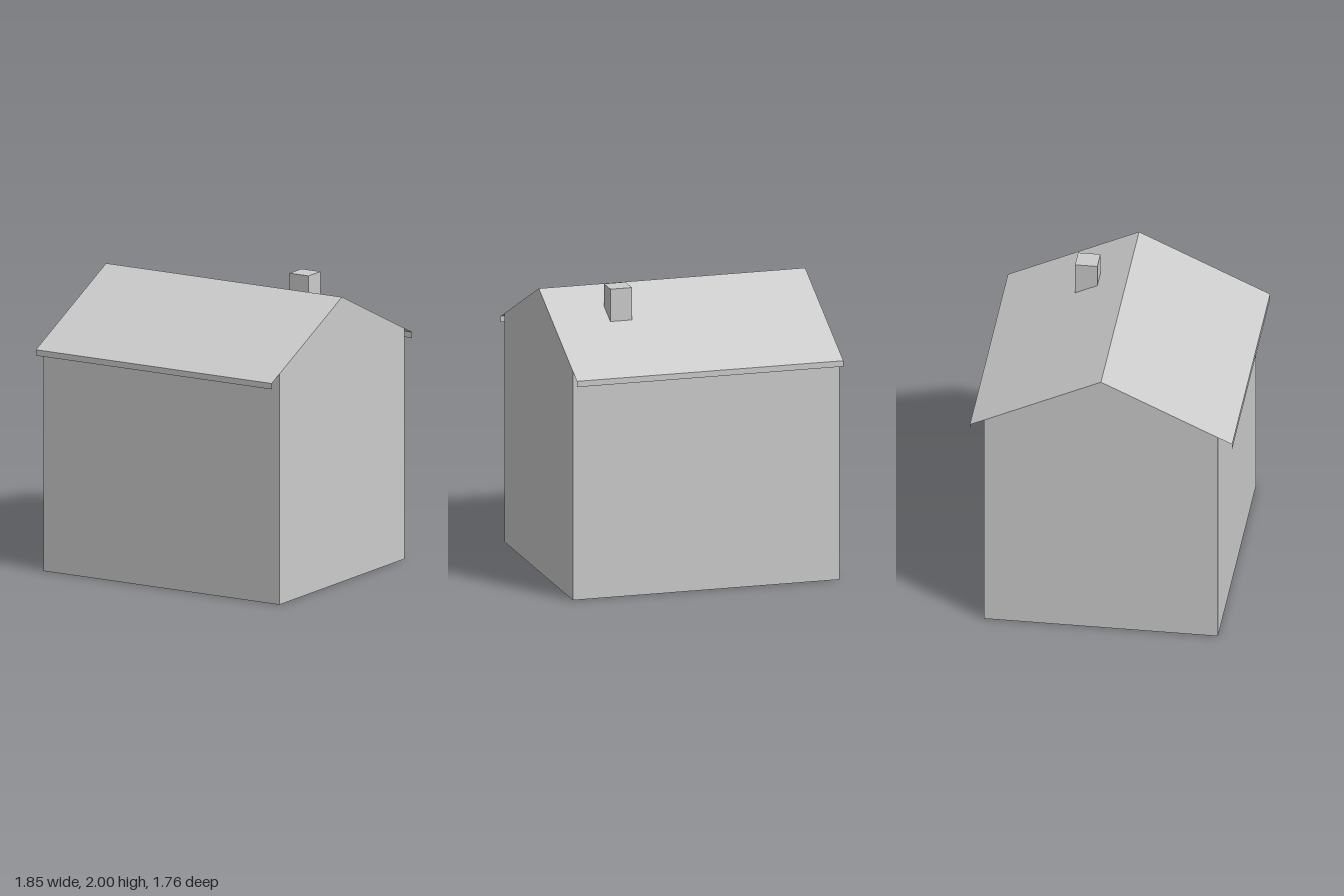
import * as THREE from 'three';

const HALF_X = 0.925, HALF_Z = 0.785, EAVE_Z = 0.88;
const RIDGE_Y = 1.945, EAVE_Y = 1.53, FASCIA = 0.04;
const WALL_Y = RIDGE_Y - HALF_Z * (RIDGE_Y - EAVE_Y) / EAVE_Z;

// Sweep an open [z, y] profile along x as a thin, hard-edged sheet
function sheetAlongX(profile, halfX) {
  const pos = [];
  for (let i = 0; i < profile.length - 1; i++) {
    const [z0, y0] = profile[i], [z1, y1] = profile[i + 1];
    const a = [-halfX, y0, z0], b = [halfX, y0, z0];
    const c = [halfX, y1, z1], d = [-halfX, y1, z1];
    pos.push(...a, ...b, ...c, ...a, ...c, ...d);
  }
  const g = new THREE.BufferGeometry();
  g.setAttribute('position', new THREE.Float32BufferAttribute(pos, 3));
  g.computeVertexNormals();
  return g;
}

export function createModel() {
  const house = new THREE.Group();
  house.name = 'house';
  const plaster = new THREE.MeshStandardMaterial({ color: 0xcccccc, side: THREE.DoubleSide });
  plaster.name = 'light grey';

  const add = (name, geometry, x = 0, y = 0, z = 0, turn = 0) => {
    const mesh = new THREE.Mesh(geometry, plaster);
    mesh.name = name;
    mesh.position.set(x, y, z);
    mesh.rotation.y = turn;
    house.add(mesh);
  };

  // Long walls, open at the bottom
  const longWall = new THREE.PlaneGeometry(HALF_X * 2, WALL_Y);
  add('frontWall', longWall, 0, WALL_Y / 2, HALF_Z);
  add('backWall', longWall, 0, WALL_Y / 2, -HALF_Z, Math.PI);

  // Gable walls
  const gable = new THREE.ShapeGeometry(new THREE.Shape([
    [-HALF_Z, 0], [HALF_Z, 0], [HALF_Z, WALL_Y], [0, RIDGE_Y], [-HALF_Z, WALL_Y],
  ].map(([u, v]) => new THREE.Vector2(u, v))));
  add('leftGable', gable, HALF_X, 0, 0, Math.PI / 2);
  add('rightGable', gable, -HALF_X, 0, 0, -Math.PI / 2);

  // Folded roof sheet with a narrow fascia at each eave
  add('roof', sheetAlongX([
    [EAVE_Z, EAVE_Y - FASCIA], [EAVE_Z, EAVE_Y], [0, RIDGE_Y],
    [-EAVE_Z, EAVE_Y], [-EAVE_Z, EAVE_Y - FASCIA],
  ], HALF_X));

  // Chimney through the back slope
  add('chimney', new THREE.BoxGeometry(0.15, 0.26, 0.15), 0.46, 1.87, -0.28);

  // Window boxes on the inside of the walls
  const tall = new THREE.BoxGeometry(0.18, 0.4, 0.07);
  const small = new THREE.BoxGeometry(0.23, 0.23, 0.04);
  for (const s of [-1, 1]) {
    add('tallWindow', tall, s * 0.19, 0.66, HALF_Z - 0.037);
    add('lowerWindow', small, s * 0.59, 0.73, HALF_Z - 0.022);
    add('upperWindow', small, s * 0.59, 1.3, HALF_Z - 0.022);
    add('gableWindow', small, s * (HALF_X - 0.022), 0.755, 0, Math.PI / 2);
  }
  return house;
}
